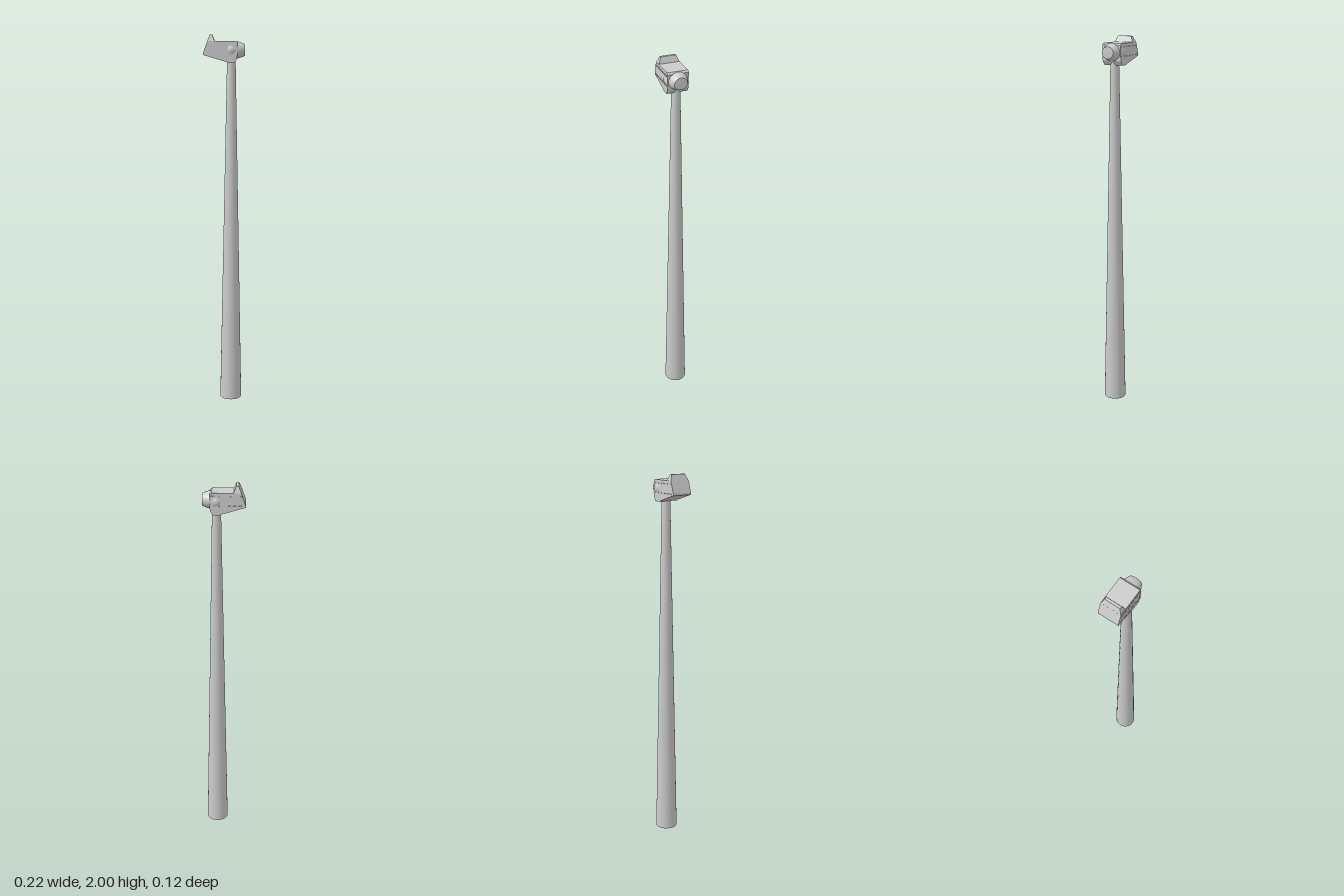
import * as THREE from 'three';

const material = new THREE.MeshStandardMaterial({ color: 0xcccccc });
const flat = new THREE.MeshStandardMaterial({ color: 0xcccccc, flatShading: true });

export function createModel() {
  const model = new THREE.Group();
  const axisX = 0.037, faceY = 1.923;

  const add = (name, geometry, mat = flat, parent = model) => {
    const mesh = new THREE.Mesh(geometry, mat);
    mesh.name = name;
    parent.add(mesh);
    return mesh;
  };

  // Long tapering handle, with flat ends
  const handle = add('handle', new THREE.CylinderGeometry(0.0225, 0.059, 1.87, 24), material);
  handle.position.set(axisX, 0.935, 0);

  // Head block: side profile extruded across the width
  const profile = new THREE.Shape([
    [-0.109, 1.898], [0.012, 1.862], [0.018, 1.858], [0.052, 1.858], [0.067, 1.88],
    [0.069, 1.96], [0.06, 1.969], [-0.087, 1.969], [-0.109, 1.908],
  ].map(([x, y]) => new THREE.Vector2(x, y)));
  const block = new THREE.ExtrudeGeometry(profile, { depth: 0.108, bevelEnabled: false });
  add('headBlock', block.translate(0, 0, -0.054));

  // Round striking face: neck, cone and flat end, turned around x
  const strikerProfile = [
    [0.03, 0.052], [0.05, 0.066], [0.046, 0.078], [0.042, 0.09], [0.034, 0.107], [0, 0.108],
  ].map(([r, x]) => new THREE.Vector2(r, x));
  const striker = add('striker', new THREE.LatheGeometry(strikerProfile, 24));
  striker.rotation.z = -Math.PI / 2;
  striker.position.y = faceY;
  striker.scale.x = 0.9;

  // Bevelled ridge on top: a box whose upper corners are drawn in
  const ridge = new THREE.BoxGeometry(0.04, 0.034, 0.107);
  const p = ridge.attributes.position;
  for (let i = 0; i < p.count; i++) {
    if (p.getY(i) > 0) p.setXYZ(i, p.getX(i) * 0.32, p.getY(i), p.getZ(i) * 0.75);
  }
  add('topRidge', ridge).position.set(-0.068, 1.983, 0);

  // Both sides carry a shallow rivet and two rows of raised bars
  for (const side of [-1, 1]) {
    const trim = new THREE.Group();
    trim.name = side > 0 ? 'frontTrim' : 'backTrim';
    model.add(trim);
    const rivet = add('rivet', new THREE.CylinderGeometry(0.008, 0.024, 0.006, 8), flat, trim);
    rivet.rotation.x = side * Math.PI / 2;
    rivet.position.set(axisX, faceY, side * 0.057);
    for (const y of [1.952, 1.904]) {
      for (let i = 0; i < 6; i++) {
        const bar = add('sideBar', new THREE.BoxGeometry(0.017, 0.004, 0.004), flat, trim);
        bar.position.set(-0.083 + i * 0.028, y, side * 0.0555);
      }
    }
  }
  return model;
}
